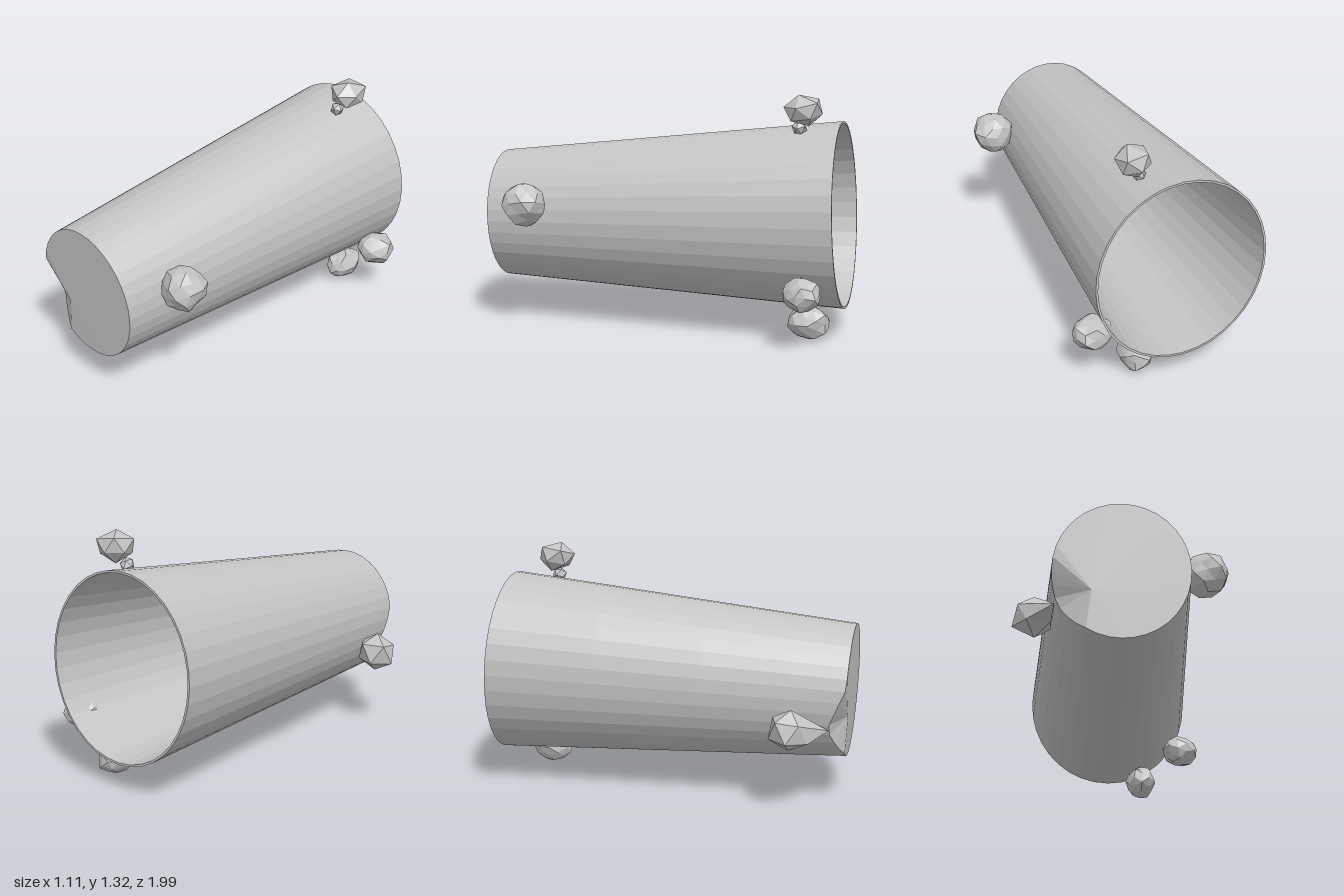
import * as THREE from 'three';

const SEGMENTS = 36;
const grey = new THREE.MeshStandardMaterial({ color: 0xc4c4c4, flatShading: true });
grey.name = 'plain grey';

// Seeded random numbers
function seeded(seed) {
  let s = seed * 7919 + 13;
  return () => (s = (s * 16807) % 2147483647) / 2147483647;
}

// One slightly tilted oval ring of the cup; t = 0 at the open back, 1 at the front
function ring(t, inset, dented) {
  const mix = (a, b) => a + (b - a) * t;
  const points = [];
  for (let k = 0; k < SEGMENTS; k++) {
    const a = (k / SEGMENTS) * Math.PI * 2;
    const deg = (k / SEGMENTS) * 360;
    const push = dented ? 0.09 * Math.max(0, 1 - Math.abs(deg - 204) / 36) : 0;
    points.push([
      mix(0.01, -0.017) + Math.cos(a) * (mix(0.475, 0.345) - inset),
      mix(0.655, 0.582) + Math.sin(a) * (mix(0.508, 0.364) - inset),
      mix(-0.972, 0.985) + Math.sin(a) * mix(0.022, 0.015) - push,
    ]);
  }
  return points;
}

// Cup skin: inner floor, inner wall, rim, outer wall, dented front
function cupGeometry() {
  const point = (z) => Array(SEGMENTS).fill([-0.165, 0.47, z]);
  const rows = [
    point(0.955), ring(0.985, 0.012, true), ring(0.85, 0.012), ring(0, 0.012),
    ring(0, 0), ring(0.3, 0), ring(0.6, 0), ring(0.85, 0), ring(1, 0, true), point(0.982),
  ];
  const positions = [];
  for (let r = 0; r < rows.length - 1; r++) {
    const A = rows[r], B = rows[r + 1];
    for (let k = 0; k < SEGMENTS; k++) {
      const n = (k + 1) % SEGMENTS;
      if (r > 0) positions.push(...A[k], ...A[n], ...B[k]);
      if (r < rows.length - 2) positions.push(...A[n], ...B[n], ...B[k]);
    }
  }
  const geometry = new THREE.BufferGeometry();
  geometry.setAttribute('position', new THREE.Float32BufferAttribute(positions, 3));
  geometry.computeVertexNormals();
  return geometry;
}

// Rough pebble fitted to a box; its vertex nearest the anchor is drawn out to it
function pebbleGeometry(min, max, detail, seed, anchor) {
  const random = seeded(seed);
  const geometry = new THREE.IcosahedronGeometry(1, detail);
  geometry.rotateX(seed * 1.3).rotateY(seed * 0.7);
  const p = geometry.attributes.position;
  const v = new THREE.Vector3();
  const keyOf = (i) => [p.getX(i), p.getY(i), p.getZ(i)].map((c) => Math.round(c * 1000)).join();
  const keys = Array.from({ length: p.count }, (_, i) => keyOf(i));
  const scales = {};
  for (let i = 0; i < p.count; i++) {
    scales[keys[i]] ??= 0.88 + 0.2 * random();
    v.fromBufferAttribute(p, i).multiplyScalar(scales[keys[i]]);
    p.setXYZ(i, v.x, v.y, v.z);
  }
  geometry.computeBoundingBox();
  const from = geometry.boundingBox;
  const size = from.getSize(new THREE.Vector3());
  const lo = new THREE.Vector3(...min);
  const span = new THREE.Vector3(...max).sub(lo);
  const target = anchor && new THREE.Vector3(...anchor);
  let nearest = Infinity, nearestKey = null;
  for (let i = 0; i < p.count; i++) {
    v.fromBufferAttribute(p, i).sub(from.min).divide(size).multiply(span).add(lo);
    p.setXYZ(i, v.x, v.y, v.z);
    if (target && v.distanceTo(target) < nearest) {
      nearest = v.distanceTo(target);
      nearestKey = keys[i];
    }
  }
  keys.forEach((key, i) => { if (key === nearestKey) p.setXYZ(i, ...anchor); });
  geometry.computeVertexNormals();
  geometry.computeBoundingBox();
  return geometry;
}

export function createModel() {
  const model = new THREE.Group();
  model.name = 'lyingCup';
  const add = (name, geometry) => {
    const mesh = new THREE.Mesh(geometry, grey);
    mesh.name = name;
    model.add(mesh);
  };

  add('cup', cupGeometry());

  // Pebbles stuck to the cup: name, min corner, max corner, detail, seed, anchor
  const pebbles = [
    ['topPebble', [0.115, 1.15, -0.87], [0.29, 1.316, -0.665], 0, 1],
    ['topPebbleStem', [0.12, 1.1, -0.78], [0.195, 1.175, -0.7], 0, 2],
    ['frontLeftPebble', [0.32, 0.585, 0.605], [0.555, 0.82, 0.83], 1, 3],
    ['frontRightPebble', [-0.555, 0.335, 0.6], [-0.345, 0.555, 0.81], 0, 4, [-0.345, 0.43, 0.9]],
    ['backLeftPebble', [0.34, 0.21, -0.91], [0.545, 0.385, -0.715], 1, 5],
    ['bottomPebble', [0.11, 0, -0.925], [0.29, 0.195, -0.7], 1, 6],
  ];
  for (const [name, ...spec] of pebbles) add(name, pebbleGeometry(...spec));
  return model;
}
